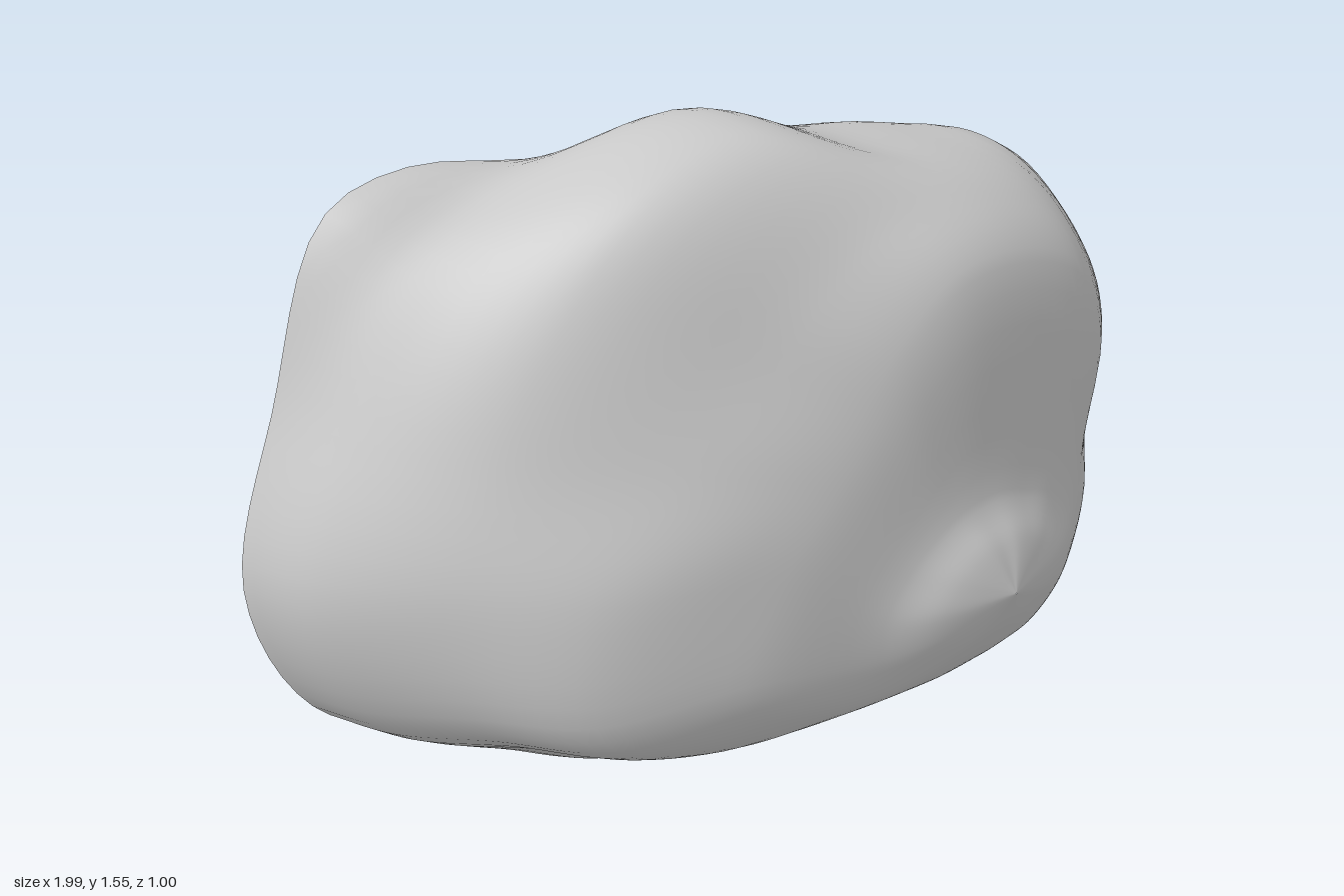
import * as THREE from 'three';

const COLS = 96;
const STEPS = 16;

// Cross-sections from the back rim to the front: z, centre x, centre y,
// then radii every 22.5 degrees, counter-clockwise from +x
const SECTIONS = [
  { z: -0.42, cx: 0, cy: 0.72, r: [0.88, 0.75, 0.66, 0.62, 0.64, 0.78, 1.00, 0.95, 0.99, 0.94, 0.81, 0.75, 0.71, 0.72, 0.76, 0.82] },
  { z: -0.22, cx: 0, cy: 0.75, r: [0.87, 0.86, 0.82, 0.73, 0.79, 0.81, 0.86, 0.87, 0.93, 0.90, 0.78, 0.74, 0.70, 0.71, 0.76, 0.83] },
  { z: 0.00, cx: 0.05, cy: 0.78, r: [0.82, 0.87, 0.80, 0.71, 0.76, 0.76, 0.73, 0.74, 0.82, 0.84, 0.72, 0.67, 0.63, 0.65, 0.72, 0.80] },
  { z: 0.20, cx: 0.2, cy: 0.78, r: [0.66, 0.71, 0.69, 0.64, 0.60, 0.55, 0.52, 0.58, 0.74, 0.83, 0.70, 0.58, 0.54, 0.55, 0.60, 0.66] },
  { z: 0.33, cx: 0.3, cy: 0.75, r: [0.43, 0.50, 0.54, 0.52, 0.49, 0.41, 0.36, 0.39, 0.50, 0.65, 0.57, 0.49, 0.47, 0.47, 0.51, 0.48] },
  { z: 0.40, cx: 0.3, cy: 0.58, r: [0.32, 0.26, 0.21, 0.19, 0.18, 0.18, 0.19, 0.22, 0.27, 0.30, 0.28, 0.25, 0.24, 0.26, 0.31, 0.34] },
  { z: 0.455, cx: 0.33, cy: 0.56, r: [0.18, 0.14, 0.12, 0.11, 0.10, 0.11, 0.12, 0.14, 0.17, 0.17, 0.15, 0.13, 0.12, 0.13, 0.15, 0.18] },
  { z: 0.498, cx: 0.33, cy: 0.56, r: new Array(STEPS).fill(0.001) },
];

// Local swellings: centre, reach along each axis, push
const SWELLINGS = [
  { at: [0.86, 0.6, -0.23], reach: [0.5, 0.17, 0.16], push: [0.15, 0, 0] }, // knob on the left flank
  { at: [0.75, 1.23, -0.08], reach: [0.18, 0.16, 0.22], push: [0.04, 0.05, 0] }, // upper left corner
  { at: [-0.58, 1.44, -0.42], reach: [0.26, 0.2, 0.1], push: [0, 0.045, 0] }, // upper right corner
  { at: [-0.1, 0.1, -0.12], reach: [0.45, 0.2, 0.11], push: [0, -0.035, 0] }, // underside
];

function swell(p) {
  const q = p.toArray();
  for (const { at, reach, push } of SWELLINGS) {
    const d = at.reduce((s, c, i) => s + ((q[i] - c) / reach[i]) ** 2, 0);
    p.addScaledVector(new THREE.Vector3(...push), Math.exp(-(d ** 1.4)));
  }
  return p;
}

// Smooth closed outline through the radii of one section
function outline({ z, cx, cy, r }) {
  const pts = r.map((d, i) => {
    const a = (i * 2 * Math.PI) / STEPS;
    return new THREE.Vector3(cx + d * Math.cos(a), cy + d * Math.sin(a), z);
  });
  const curve = new THREE.CatmullRomCurve3(pts, true, 'catmullrom', 0.5);
  return Array.from({ length: COLS }, (_, i) => curve.getPoint(i / COLS));
}

// Closed skin over a list of point rings
function skin(rings) {
  const index = [];
  for (let r = 0; r < rings.length - 1; r++) {
    for (let c = 0; c < COLS; c++) {
      const n = (c + 1) % COLS;
      const a = r * COLS + c, b = r * COLS + n;
      index.push(a, b, a + COLS, b, b + COLS, a + COLS);
    }
  }
  const geo = new THREE.BufferGeometry().setFromPoints(rings.flat());
  geo.setIndex(index);
  geo.computeVertexNormals();
  return geo;
}

export function createModel() {
  const group = new THREE.Group();
  group.name = 'boulder';
  const stone = new THREE.MeshStandardMaterial({ color: 0xcacaca });
  stone.name = 'grey stone';

  // Weathered body, lofted through the sections
  const outlines = SECTIONS.map(outline);
  const rows = 49;
  const columns = outlines[0].map((_, c) =>
    new THREE.CatmullRomCurve3(outlines.map((o) => o[c]), false, 'centripetal').getPoints(rows));
  const rings = Array.from({ length: rows + 1 }, (_, r) => columns.map((col) => swell(col[r].clone())));
  const body = new THREE.Mesh(skin(rings), stone);
  body.name = 'stoneBody';
  group.add(body);

  // Gently domed back with a crisp rim
  const centre = new THREE.Vector3(-0.03, 0.7, 0);
  const backRings = Array.from({ length: 13 }, (_, i) => {
    const t = Math.max(i / 12, 0.001);
    return rings[0].map((p) => new THREE.Vector3(
      THREE.MathUtils.lerp(centre.x, p.x, t),
      THREE.MathUtils.lerp(centre.y, p.y, t),
      p.z - 0.08 * (1 - t ** 2.4)));
  });
  const back = new THREE.Mesh(skin(backRings), stone);
  back.name = 'flatBack';
  group.add(back);

  return group;
}
